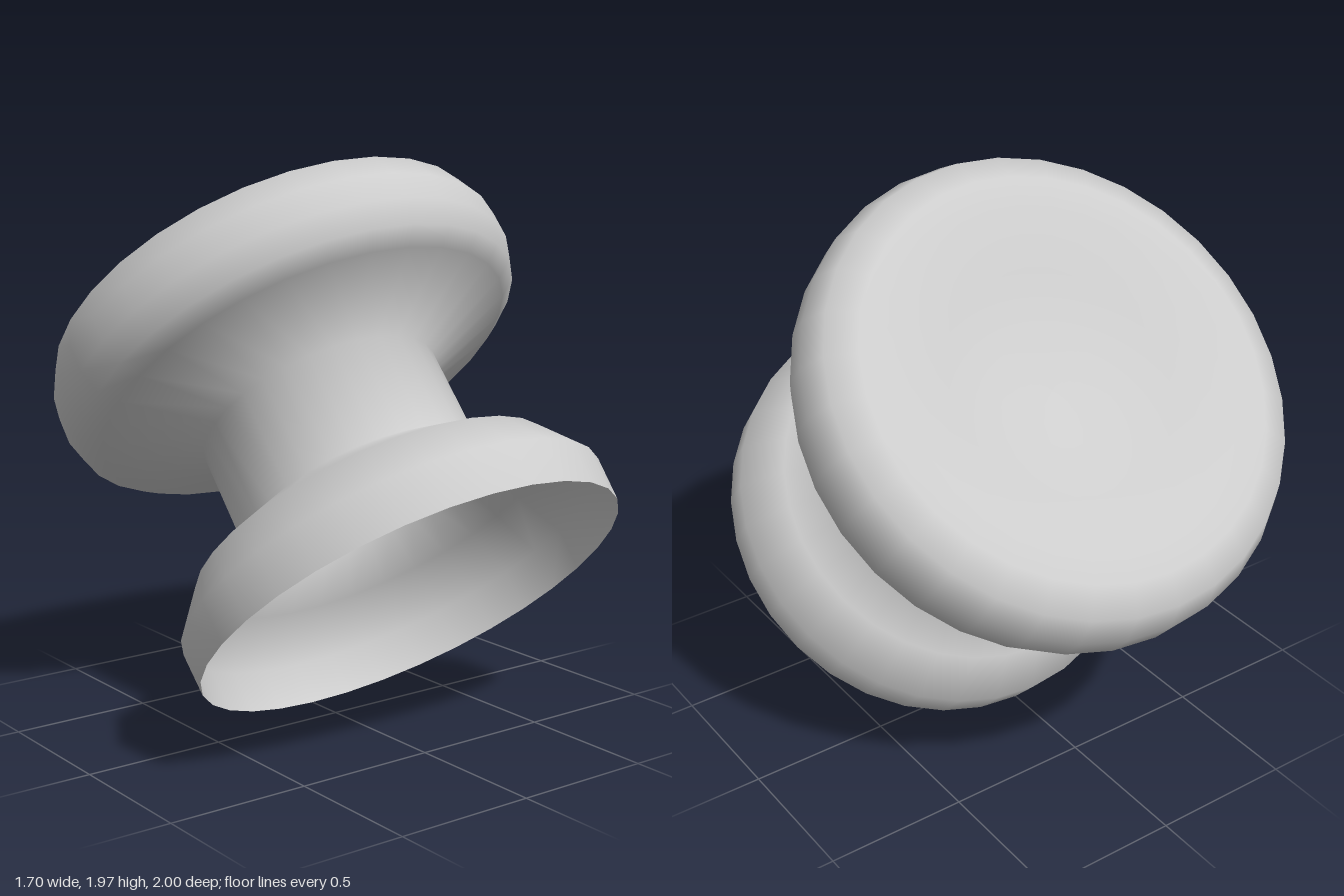
import * as THREE from 'three';

export function createModel() {
  const group = new THREE.Group();
  group.name = 'knob';

  const grey = new THREE.MeshStandardMaterial({ color: 0xcccccc, side: THREE.DoubleSide });
  grey.name = 'plain grey';

  // One turned shell, open at the foot: [radius, height along the axis]
  const profile = [
    [0.761, 0], [0.768, 0.155], [0.655, 0.314],           // flared foot
    [0.439, 0.42], [0.439, 0.782],                        // neck
    [0.762, 0.906], [0.822, 0.952], [0.852, 1.038],       // underside of head
    [0.852, 1.14], [0.809, 1.243], [0.71, 1.289],         // rounded rim
    [0.6, 1.288], [0.4, 1.22], [0.2, 1.165], [0, 1.145],  // hollowed dish
  ].map(([r, h]) => new THREE.Vector2(r, h));

  const shell = new THREE.Mesh(new THREE.LatheGeometry(profile, 32), grey);
  shell.name = 'knobShell';

  // Tilt the axis up and towards the back
  shell.rotation.x = -0.725;
  shell.position.set(0, 0.505, 0.43);
  group.add(shell);
  return group;
}
